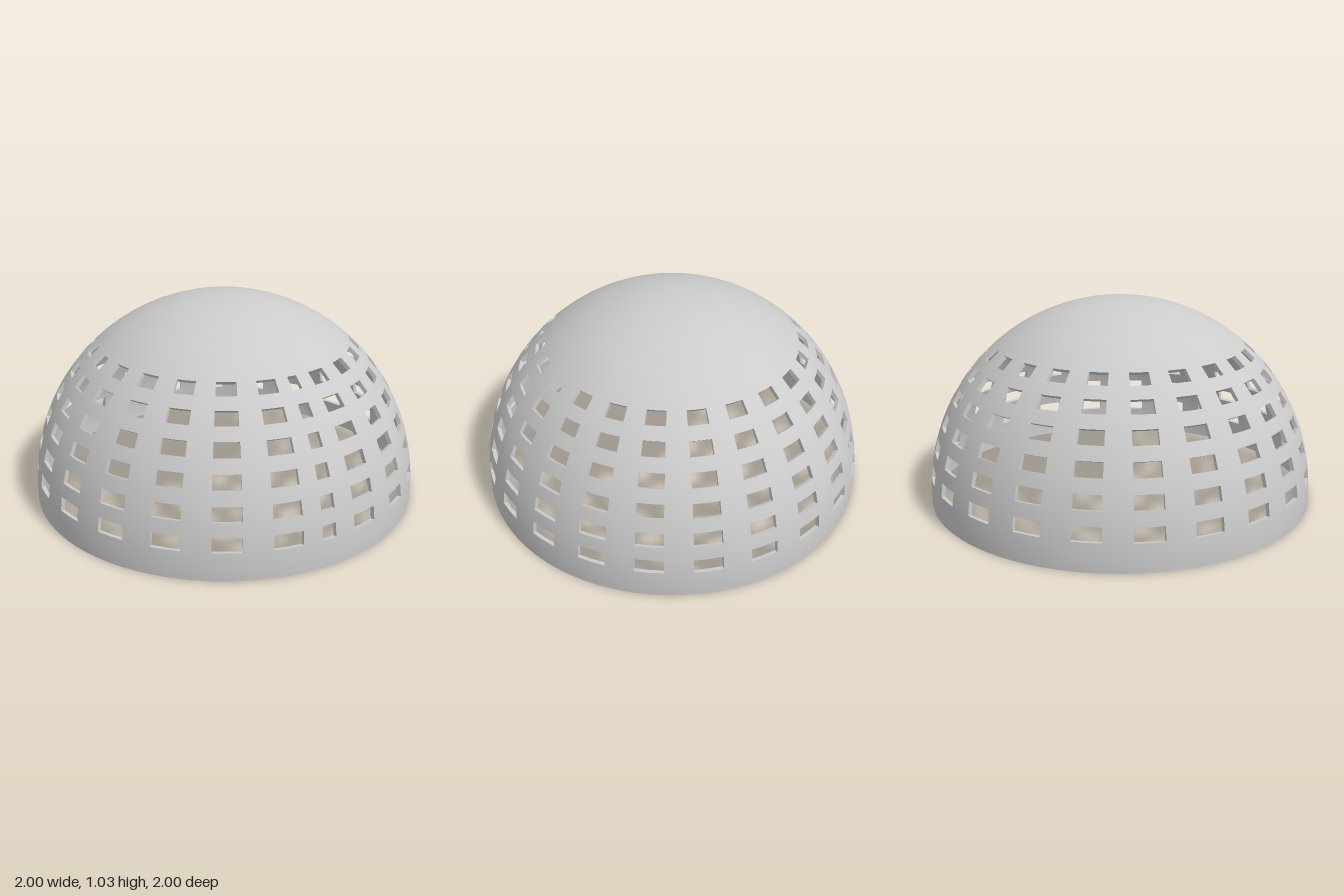
import * as THREE from 'three';

const OUTER = 1, INNER = 0.98, CENTRE_Y = 0.035;

// Latitude lines every 4 degrees, from just below the equator to the pole
const lats = Array.from({ length: 24 }, (_, j) => -2 + 4 * j);

// Longitude lines: one narrow leftover bay, then a regular 4 degree grid
const lons = [58, 63.5, 67.7];
for (let a = 74; a <= 418; a += 4) lons.push(a);

const dir = (lon, lat) => {
  const a = THREE.MathUtils.degToRad(lon), b = THREE.MathUtils.degToRad(lat);
  return new THREE.Vector3(Math.cos(b) * Math.sin(a), Math.sin(b), Math.cos(b) * Math.cos(a));
};
const at = (d, r) => {
  const p = d.clone().multiplyScalar(r);
  p.y = Math.max(0, p.y + CENTRE_Y);
  return p;
};

// Six rows of windows; alternate 8 degree columns, plus the narrow column
const openRow = (j) => j >= 2 && j <= 12 && j % 2 === 0;
const openColumn = (i) => (lons[i] < 74 ? i === 1 : (lons[i] - 74) % 16 < 8);

// Collects quads with given or flat normals
function quadCollector() {
  const pos = [], nor = [];
  return {
    add(p, n) {
      if (!n) {
        const f = p[1].clone().sub(p[0]).cross(p[3].clone().sub(p[0])).normalize();
        n = [f, f, f, f];
      }
      for (const k of [0, 1, 2, 0, 2, 3]) {
        pos.push(...p[k].toArray());
        nor.push(...n[k].toArray());
      }
    },
    mesh(name, material) {
      const g = new THREE.BufferGeometry();
      g.setAttribute('position', new THREE.Float32BufferAttribute(pos, 3));
      g.setAttribute('normal', new THREE.Float32BufferAttribute(nor, 3));
      const m = new THREE.Mesh(g, material);
      m.name = name;
      return m;
    },
  };
}

export function createModel() {
  const group = new THREE.Group();
  group.name = 'perforatedDome';
  const material = new THREE.MeshStandardMaterial({ color: 0xcccccc });
  const outer = quadCollector(), inner = quadCollector();
  const reveals = quadCollector(), rim = quadCollector();

  // A wall through the shell thickness along the edge a to b
  const wall = (target, a, b) =>
    target.add([at(a, OUTER), at(b, OUTER), at(b, INNER), at(a, INNER)]);

  for (let i = 0; i < lons.length - 1; i++) {
    for (let j = 0; j < lats.length - 1; j++) {
      const c = [
        dir(lons[i], lats[j]), dir(lons[i + 1], lats[j]),
        dir(lons[i + 1], lats[j + 1]), dir(lons[i], lats[j + 1]),
      ];
      if (openRow(j) && openColumn(i)) {
        // Window reveals
        wall(reveals, c[0], c[1]);
        wall(reveals, c[2], c[3]);
        if (!openColumn(i + 1)) wall(reveals, c[1], c[2]);
        if (i === 0 || !openColumn(i - 1)) wall(reveals, c[3], c[0]);
      } else {
        // Outer and inner skin
        outer.add(c.map((d) => at(d, OUTER)), c);
        const r = [...c].reverse();
        inner.add(r.map((d) => at(d, INNER)), r.map((d) => d.clone().negate()));
      }
      // Base rim
      if (j === 0) wall(rim, c[1], c[0]);
    }
  }

  group.add(
    outer.mesh('outerShell', material), inner.mesh('innerShell', material),
    reveals.mesh('windowReveals', material), rim.mesh('baseRim', material),
  );
  return group;
}
